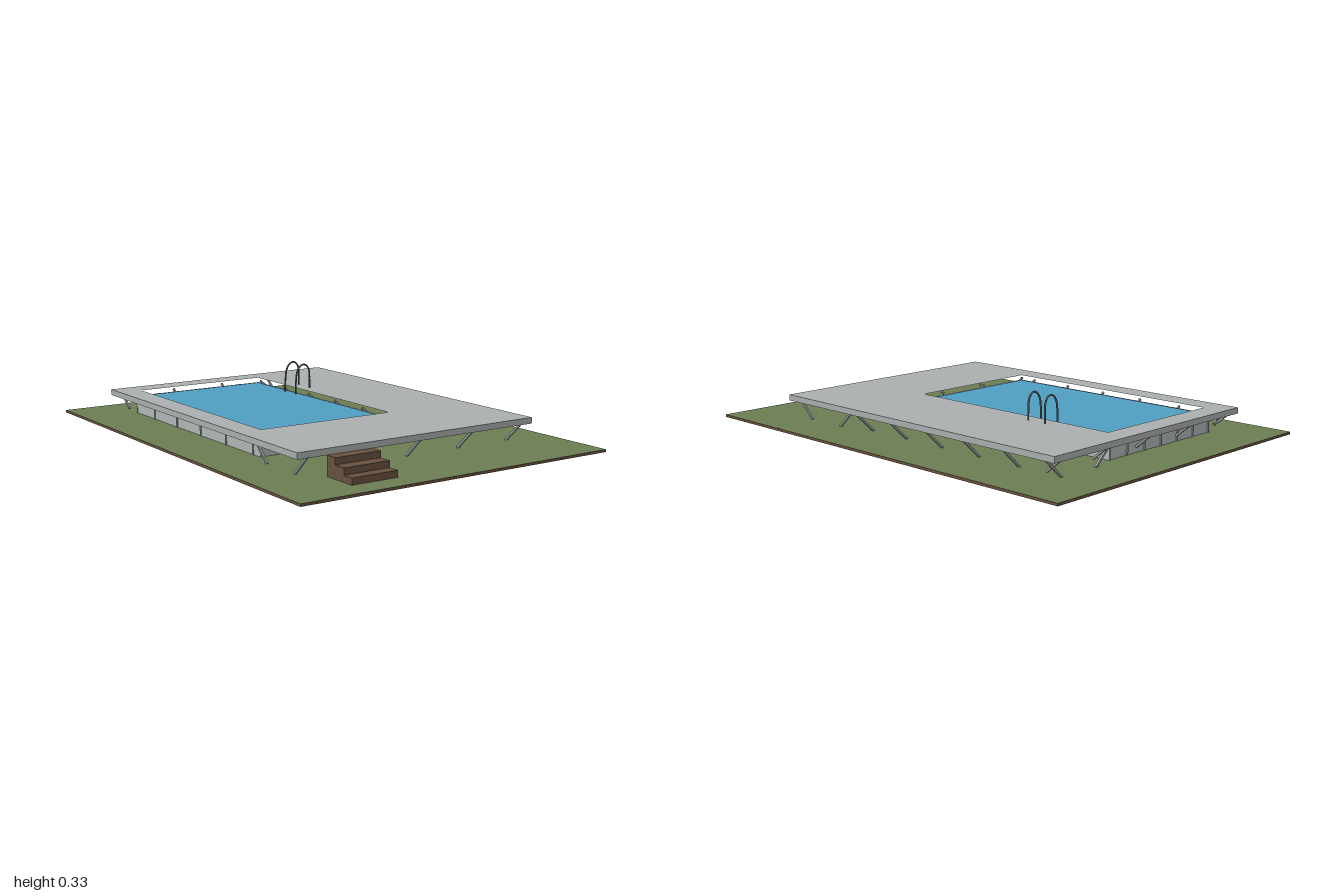
import * as THREE from 'three';

export function createModel() {
  const root = new THREE.Group();
  const mat = (name, color) => {
    const m = new THREE.MeshStandardMaterial({ color });
    m.name = name;
    return m;
  };
  const grass = mat('grass green', 0x6b7d54);
  const wood = mat('earth and wood brown', 0x67503d);
  const stone = mat('deck grey', 0xaaaeae);
  const panel = mat('wall grey', 0xb0b5b5);
  const steel = mat('steel grey', 0x97999a);
  const rail = mat('rail dark grey', 0x5c5e60);
  const water = mat('water blue', 0x4f9dc2);
  const basin = mat('basin blue', 0x2d6ca6);

  const add = (name, geo, material, parent = root) => {
    const mesh = new THREE.Mesh(geo, material);
    mesh.name = name;
    parent.add(mesh);
    return mesh;
  };
  const group = (name) => {
    const g = new THREE.Group();
    g.name = name;
    root.add(g);
    return g;
  };
  // Box given by its limits on each axis
  const block = (name, [x0, x1], [y0, y1], [z0, z1], material, parent) => {
    const mesh = add(name, new THREE.BoxGeometry(x1 - x0, y1 - y0, z1 - z0), material, parent);
    mesh.position.set((x0 + x1) / 2, (y0 + y1) / 2, (z0 + z1) / 2);
    return mesh;
  };
  // Rectangular slab with a rectangular opening
  const frame = (name, outer, inner, y0, y1, material) => {
    const corners = ([x0, x1, z0, z1]) =>
      [[x0, z0], [x1, z0], [x1, z1], [x0, z1]].map(([x, z]) => new THREE.Vector2(x, -z));
    const shape = new THREE.Shape(corners(outer));
    shape.holes.push(new THREE.Path(corners(inner)));
    const geo = new THREE.ExtrudeGeometry(shape, { depth: y1 - y0, bevelEnabled: false });
    geo.rotateX(-Math.PI / 2).translate(0, y0, 0);
    return add(name, geo, material);
  };
  // Square bar between two points
  const bar = (name, a, b, width, material, parent) => {
    const from = new THREE.Vector3(...a), to = new THREE.Vector3(...b);
    const mesh = add(name, new THREE.BoxGeometry(width, width, from.distanceTo(to)), material, parent);
    mesh.position.copy(from).lerp(to, 0.5);
    mesh.lookAt(to);
  };

  // Lawn slab: green on top, earth elsewhere
  block('lawn', [-0.74, 0.74], [0.095, 0.106], [-1, 1], [wood, wood, grass, wood, wood, wood]);

  // Pool
  const opening = [-0.475, 0.155, -0.738, 0.315];
  block('poolBasin', [-0.475, 0.155], [0, 0.18], [-0.738, 0.315], basin);
  block('waterSurface', [-0.475, 0.155], [0.18, 0.188], [-0.738, 0.315], water);
  frame('poolWall', [-0.49, 0.17, -0.755, 0.333], opening, 0.106, 0.186, panel);
  frame('deck', [-0.58, 0.58, -0.84, 0.735], opening, 0.186, 0.212, stone);

  // Wall ribs
  const ribs = group('wallRibs');
  for (let i = 0; i <= 6; i++) {
    const x = -0.487 + i * 0.109;
    for (const z of [-0.755, 0.333])
      block('rib', [x - 0.004, x + 0.004], [0.106, 0.186], [z - 0.004, z + 0.004], panel, ribs);
  }
  const sideRows = [0, 1, 2, 3, 4, 5].map((i) => 0.28 - i * 0.2133);
  for (const z of sideRows.slice(0, 5))
    for (const x of [-0.49, 0.17])
      block('rib', [x - 0.004, x + 0.004], [0.106, 0.186], [z - 0.004, z + 0.004], panel, ribs);

  // Slanted braces carrying the deck
  const braces = group('deckBraces');
  const top = 0.186, low = 0.106, w = 0.009;
  for (const z of sideRows) {
    bar('sideBrace', [0.48, low, z], [0.565, top, z], w, steel, braces);
    bar('sideBrace', [0.285, low, z], [0.2, top, z], w, steel, braces);
    bar('sideBrace', [-0.485, 0.148, z], [-0.53, top, z], w, steel, braces);
  }
  for (let i = 0; i < 5; i++) {
    const x = -0.528 + i * 0.2635;
    bar('frontBrace', [x, low, 0.64], [x, top, 0.722], w, steel, braces);
    bar('frontBrace', [x, low, 0.445], [x, top, 0.36], w, steel, braces);
    bar('backBrace', [x, 0.13, -0.755], [x, top, -0.822], w, steel, braces);
  }

  // Steps up to the deck
  const steps = group('steps');
  [[0.106, 0.133, 0.895], [0.133, 0.16, 0.845], [0.16, 0.187, 0.79]].forEach(([y0, y1, z]) =>
    block('step', [-0.45, -0.24], [y0, y1], [0.737, z], wood, steps));

  // Arched ladder rails
  const path = new THREE.CatmullRomCurve3([
    [0.137, 0.185], [0.139, 0.25], [0.145, 0.29], [0.16, 0.315], [0.18, 0.324],
    [0.2, 0.315], [0.212, 0.29], [0.214, 0.25], [0.214, 0.21],
  ].map(([x, y]) => new THREE.Vector3(x, y, 0)));
  const rails = group('ladderRails');
  for (const z of [-0.461, -0.371])
    add('ladderRail', new THREE.TubeGeometry(path, 32, 0.004, 8), rail, rails).position.z = z;

  return root;
}
